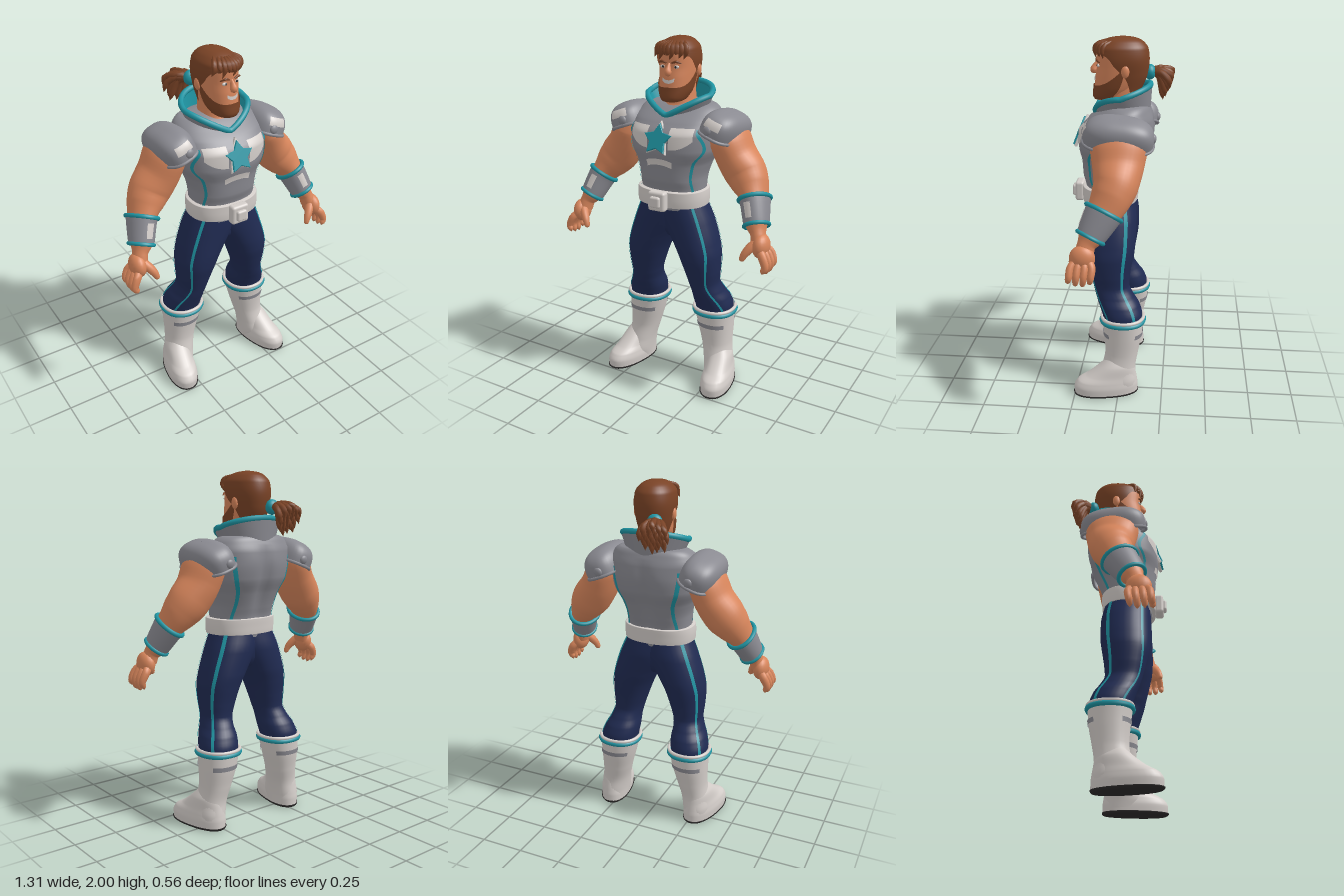
import * as THREE from 'three';
import { ParametricGeometry } from 'three/addons/geometries/ParametricGeometry.js';
import { RoundedBoxGeometry } from 'three/addons/geometries/RoundedBoxGeometry.js';
const material = (name, color) => Object.assign(new THREE.MeshStandardMaterial({ color, side: THREE.DoubleSide }), { name });
const skin = material('skin', 0xd8865c), hair = material('hair brown', 0x7a4326), suit = material('suit grey', 0x8a8a91);
const white = material('off white', 0xd3cdc9), teal = material('teal', 0x1f94a2), navy = material('navy', 0x202b52), dark = material('sole', 0x2c2a2a);
const TAU = Math.PI * 2, V = (x, y, z) => new THREE.Vector3(x, y, z);
const pw = (v, n) => Math.sign(v) * Math.abs(v) ** (2 / n);
const named = name => Object.assign(new THREE.Group(), { name });
// Smooth interpolation of one column of a table without overshoot
function curve(keys, vals) {
  const d = keys.slice(1).map((k, i) => (vals[i + 1] - vals[i]) / (k - keys[i]));
  const m = vals.map((_, i) => i === 0 ? d[0] : i === d.length ? d[i - 1] : d[i - 1] * d[i] <= 0 ? 0 : 2 * d[i - 1] * d[i] / (d[i - 1] + d[i]));
  return k => {
    let i = 0;
    while (i < d.length - 1 && k > keys[i + 1]) i++;
    const h = keys[i + 1] - keys[i], t = Math.min(1, Math.max(0, (k - keys[i]) / h)), s = 1 - t;
    return vals[i] * (1 + 2 * t) * s * s + m[i] * h * t * s * s + vals[i + 1] * t * t * (3 - 2 * t) - m[i + 1] * h * t * t * s;
  };
}
const columns = (keys, rows) => rows[0].map((_, c) => curve(keys, rows.map(r => r[c])));
// Upright body of horizontal rings; rows are [y, x0, x1, zBack, zFront]
function body(rows, n = 2.2) {
  const keys = rows.map(r => r[0]), c = columns(keys, rows);
  return Object.assign((y, a, off = 0) => {
    const [x0, x1, z0, z1] = [1, 2, 3, 4].map(i => c[i](y));
    return V((x0 + x1) / 2 + ((x1 - x0) / 2 + off) * pw(Math.sin(a), n), y, (z0 + z1) / 2 + ((z1 - z0) / 2 + off) * pw(Math.cos(a), n));
  }, { keys });
}
const sym = (rows, n) => body(rows.map(([y, h, z0, z1]) => [y, -h, h, z0, z1]), n);
// Limb along a path; rows are [x, y, z, side radius, depth radius]
function limb(rows) {
  const keys = rows.map((_, i) => i), c = columns(keys, rows), end = keys.length - 1;
  const at = k => V(c[0](k), c[1](k), c[2](k));
  return Object.assign((k, a, off = 0) => {
    const t = at(Math.min(end, k + 0.1)).sub(at(Math.max(0, k - 0.1))).normalize();
    const s = V(0, 0, 1).cross(t).normalize(), d = t.clone().cross(s);
    return at(k).addScaledVector(s, -Math.sin(a) * (c[3](k) + off)).addScaledVector(d, Math.cos(a) * (c[4](k) + off));
  }, { keys });
}
function add(parent, name, geometry, mat) {
  const mesh = Object.assign(new THREE.Mesh(geometry, mat), { name });
  parent.add(mesh);
}
const surface = (parent, name, mat, point, nu, nv) => add(parent, name, new ParametricGeometry((u, v, p) => p.copy(point(u, v)), nu, nv), mat);
function whole(parent, name, f, mat, nu = 32, sub = 4) {
  const k = f.keys, last = k.length - 1;
  surface(parent, name, mat, (u, v) => {
    const t = v * last, i = Math.min(last - 1, Math.floor(t));
    return f(k[i] + (k[i + 1] - k[i]) * (t - i), u * TAU);
  }, nu, last * sub);
}
// Thin patch lying on a body or limb; place(u, v) gives [key, angle]
const patch = (parent, name, f, mat, place, off = 0.004, nu = 10, nv = 14) => surface(parent, name, mat, (u, v) => f(...place(u, v), off), nu, nv);
const stripe = (parent, name, f, y0, y1, angle, w) => patch(parent, name, f, teal,
  (u, v) => [y0 + (y1 - y0) * v, angle(y0 + (y1 - y0) * v) + (u - 0.5) * 2 * w], 0.004, 3, 32);
const hoop = (parent, name, point, r, mat) => add(parent, name, new THREE.TubeGeometry(
  new THREE.CatmullRomCurve3(Array.from({ length: 40 }, (_, i) => point(i / 40 * TAU)), true), 80, r, 8, true), mat);
const ball = (parent, name, mat, x, y, z, sx, sy, sz) => add(parent, name, new THREE.SphereGeometry(1, 20, 14).scale(sx, sy, sz).translate(x, y, z), mat);
// Copy of a group reflected in x, with corners reordered
function mirrored(group, name) {
  const out = named(name);
  group.updateMatrixWorld(true);
  group.traverse(o => {
    if (!o.isMesh) return;
    const g = o.geometry.clone().applyMatrix4(o.matrixWorld).scale(-1, 1, 1), ix = g.index.array;
    for (let i = 0; i < ix.length; i += 3) [ix[i], ix[i + 1]] = [ix[i + 1], ix[i]];
    add(out, o.name, g, o.material);
  });
  return out;
}
function makeTorso(root) {
  const base = sym([[1.08, .185, -.07, .2], [1.19, .185, -.08, .205], [1.25, .187, -.1, .22], [1.33, .207, -.13, .225], [1.42, .248, -.168, .242],
    [1.5, .255, -.178, .238], [1.56, .255, -.172, .19], [1.61, .232, -.155, .125], [1.64, .2, -.14, .08], [1.66, .1, -.1, .04], [1.67, .04, -.06, .02]], 2.35);
  // Groove along the spine
  const f = Object.assign((y, a, off) => {
    const p = base(y, a, off);
    if (p.z < 0) p.z += .022 * Math.exp(-((p.x / .045) ** 2)) * Math.sin(Math.PI * Math.min(1, Math.max(0, (y - 1.15) / .45)));
    return p;
  }, { keys: base.keys });
  whole(root, 'torso', f, suit, 64);
  // Pale panels and teal seams
  const front = curve([1.19, 1.28, 1.35, 1.43, 1.52], [1.02, .92, .9, 1.1, .85]), back = curve([1.19, 1.35, 1.52], [2.3, 2.45, 2.35]);
  for (const s of [1, -1]) {
    patch(root, 'chestPanel', f, white, (u, v) => [1.43 + .05 * u * u + (.115 - .05 * u * u) * v, s * (.2 + u * .55)]);
    stripe(root, 'frontSeam', f, 1.19, 1.54, y => s * front(y), .05);
    stripe(root, 'backSeam', f, 1.19, 1.54, y => s * back(y), .06);
  }
  patch(root, 'stomachPanel', f, white, (u, v) => [1.325 + 0.035 * v + 0.015 * Math.sin(u * Math.PI), (u - 0.5) * 0.6]);
  // Star ornament
  for (const [R, r, z, mat] of [[.096, .05, .222, white], [.084, .045, .233, teal]]) {
    const points = Array.from({ length: 10 }, (_, i) => new THREE.Vector2(0, i % 2 ? r : R).rotateAround(new THREE.Vector2(), i * Math.PI / 5));
    const plate = new THREE.ExtrudeGeometry(new THREE.Shape(points), { depth: .012, bevelSize: .003, bevelThickness: .003, bevelSegments: 1 });
    add(root, 'starOrnament', plate.rotateX(-.38).translate(0, 1.478, z), mat);
  }
  // Belt and buckle
  whole(root, 'belt', sym([[1.095, .18, -.065, .2], [1.1, .203, -.085, .222], [1.145, .206, -.088, .225], [1.185, .203, -.09, .225], [1.192, .18, -.07, .2]], 2.35), white, 48);
  add(root, 'buckle', new RoundedBoxGeometry(.105, .11, .05, 3, .015).translate(0, 1.14, .242), white);
  add(root, 'buckleCentre', new RoundedBoxGeometry(.062, .062, .03, 3, .012).translate(0, 1.14, .27), white);
  // Flared collar: grey outside, teal lining and rim, meeting in a low front V
  const edge = (a, t, inset) => {
    const c = Math.cos(a), s = Math.sin(a);
    const top = V(.195 * s, c > 0 ? 1.588 + .105 * Math.sqrt(s * s + .004) : 1.695 - .05 * c, .16 * c);
    const p = V(.145 * s, 1.58 - .03 * c, -.02 + .13 * c).lerp(top, t);
    return V(p.x - inset * s, p.y, p.z - inset * c);
  };
  surface(root, 'collarOuter', suit, (u, v) => edge(u * TAU, v, 0), 48, 5);
  surface(root, 'collarLining', teal, (u, v) => edge(u * TAU, v, .014), 48, 5);
  hoop(root, 'collarRim', a => edge(a, 1, .01), .016, teal);
}
function makeArm() {
  const g = named('leftArm');
  const f = limb([[.25, 1.56, 0, .02, .02], [.28, 1.53, 0, .08, .13], [.31, 1.47, -.005, .1, .15], [.345, 1.39, -.005, .105, .137], [.4, 1.31, 0, .113, .12],
    [.445, 1.25, .02, .1, .108], [.49, 1.18, .055, .07, .09], [.535, 1.06, .12, .055, .065], [.555, 1.02, .14, .04, .048], [.565, .98, .15, .04, .05]]);
  whole(g, 'arm', f, skin);
  patch(g, 'wristGuard', f, suit, (u, v) => [6 + v, u * TAU], .01, 32, 8);
  patch(g, 'wristGuardPanel', f, white, (u, v) => [6.25 + .5 * v, (u - .5) * .5], .013);
  hoop(g, 'guardTopRing', a => f(6, a, .009), .012, teal);
  hoop(g, 'guardLowerRing', a => f(7, a, .009), .011, teal);
  // Hand with four fingers and a thumb
  ball(g, 'palm', skin, .582, .965, .157, .045, .067, .067);
  for (let i = 0; i < 4; i++) {
    const z = .104 + i * .037, n = Math.abs(i - 1.4) * .012;
    whole(g, 'finger', limb([[.585, .955, .125 + i * .02, .024, .022], [.617, .92, z, .023, .02], [.635, .875, z + .006, .02, .018],
      [.626, .835 + n, z + .01, .016, .015], [.62, .818 + n, z + .01, .001, .001]]), skin, 10, 3);
  }
  whole(g, 'thumb', limb([[.565, .99, .17, .026, .026], [.535, .955, .2, .025, .024], [.512, .92, .218, .02, .019], [.502, .893, .224, .014, .014], [.5, .884, .225, .001, .001]]), skin, 12, 3);
  // Shoulder pad, rim, panel and studs
  const pad = named('shoulderPad');
  pad.position.set(.28, 1.515, 0);
  pad.rotation.set(-.1, 0, -.36);
  g.add(pad);
  const dome = (t, a, r = 1) => V(.106 * r * pw(Math.sin(t), 2.6) * pw(Math.sin(a), 2.7), .113 * r * pw(Math.cos(t), 2.6), .186 * r * pw(Math.sin(t), 2.6) * pw(Math.cos(a), 2.7));
  surface(pad, 'padShell', suit, (u, v) => dome(1.75 - 1.748 * v, u * TAU), 40, 18);
  surface(pad, 'padPanel', white, (u, v) => dome(1.45 - .4 * v, -.4 + u * .7, 1.02), 8, 8);
  hoop(pad, 'padRim', a => dome(1.72, a), .009, suit);
  for (const s of [1, -1]) ball(pad, 'padStud', suit, -.02, .005, s * .182, .025, .025, .014);
  return g;
}
function makeLeg() {
  const g = named('leftLeg');
  const f = body([[.42, .13, .32, -.12, .085], [.47, .118, .333, -.13, .095], [.53, .112, .318, -.112, .115], [.58, .115, .292, -.08, .133], [.64, .105, .274, -.052, .15], [.71, .083, .28, -.058, .168],
    [.8, .05, .283, -.072, .188], [.88, .01, .27, -.083, .193], [1, -.06, .235, -.086, .193], [1.11, -.1, .19, -.07, .19]]);
  whole(g, 'trouserLeg', f, navy);
  stripe(g, 'frontStripe', f, .46, 1.1, curve([.46, .65, .86, 1.0, 1.1], [.9, .62, .82, .83, .85]), .065);
  stripe(g, 'backStripe', f, .46, 1.1, () => 2.2, .085);
  // Boot shaft with trim
  const b = body([[.03, .2, .355, -.1, .1], [.08, .195, .36, -.102, .12], [.15, .185, .347, -.095, .1], [.25, .16, .335, -.11, .08], [.36, .13, .338, -.13, .088], [.46, .108, .342, -.137, .1]]);
  whole(g, 'bootShaft', b, white);
  for (const mid of [0, Math.PI]) patch(g, 'bootBand', b, suit, (u, v) => [.352 + .026 * v, mid + (u - .5) * 1.8]);
  hoop(g, 'bootRing', a => b(.442, a, .002), .014, teal);
  hoop(g, 'bootTopTrim', a => b(.46, a, 0), .01, white);
  // Foot and sole
  const foot = named('foot');
  foot.position.set(.285, 0, 0);
  foot.rotation.y = .2;
  g.add(foot);
  whole(foot, 'bootFoot', sym([[.014, .086, -.11, .255], [.05, .088, -.11, .258], [.085, .083, -.106, .24], [.12, .074, -.1, .18], [.17, .066, -.09, .115], [.22, .04, -.06, .06]], 2.3), white);
  whole(foot, 'bootSole', sym([[0, .001, .07, .072], [.001, .08, -.108, .25], [.014, .091, -.114, .262], [.017, .07, -.1, .24]], 2.3), dark);
  return g;
}
function makeHead() {
  const g = named('head');
  g.rotation.y = .1;
  whole(g, 'neck', sym([[1.55, .12, -.12, .13], [1.6, .1, -.1, .11], [1.65, .084, -.1, .08], [1.76, .075, -.1, .07]]), skin);
  const f = sym([[1.658, .004, .09, .11], [1.664, .045, .02, .145], [1.69, .068, -.03, .157], [1.73, .084, -.08, .153], [1.79, .092, -.115, .148],
    [1.85, .096, -.125, .14], [1.91, .097, -.125, .142], [1.96, .075, -.09, .1], [1.98, .02, -.03, .03]], 2.3);
  whole(g, 'face', f, skin);
  patch(g, 'beard', f, hair, (u, v) => [1.659 + (.085 + .1 * (2 * u - 1) ** 4) * v, (u - .5) * 3.3], .007, 32, 10);
  patch(g, 'smile', f, white, (u, v) => [1.764 + .018 * v + .012 * (2 * u - 1) ** 2, (u - .5) * .6], .005);
  whole(g, 'nose', limb([[0, 1.868, .135, .006, .008], [0, 1.845, .146, .012, .016], [0, 1.823, .155, .019, .021], [0, 1.808, .15, .012, .012], [0, 1.803, .148, .001, .001]]), skin, 14);
  for (const s of [1, -1]) {
    ball(g, 'eye', white, s * .038, 1.85, .131, .016, .009, .008);
    ball(g, 'pupil', dark, s * .036, 1.85, .1365, .006, .007, .004);
    whole(g, 'eyebrow', limb([[s * .016, 1.87, .143, .004, .004], [s * .04, 1.878, .141, .007, .006], [s * .065, 1.868, .125, .003, .003]]), hair, 8);
    ball(g, 'ear', skin, s * .104, 1.825, -.01, .014, .034, .022);
  }
  // Hair cap, open around the face, with a swept fringe
  const h = sym([[1.71, .08, -.095, .09], [1.8, .101, -.133, .14], [1.88, .112, -.143, .152], [1.935, .106, -.136, .148], [1.97, .082, -.11, .115], [1.99, .05, -.07, .072], [2, .003, -.003, .003]]);
  const open = curve([1.71, 1.8, 1.85, 1.9, 1.925], [1.9, 1.6, 1.3, 1, 0]);
  patch(g, 'hairBack', h, hair, (u, v) => [1.71 + .215 * v, open(1.71 + .215 * v) * (1 - 2 * u) + u * TAU], 0, 40, 18);
  patch(g, 'hairTop', h, hair, (u, v) => [1.925 + .075 * Math.sin(v * Math.PI / 2), u * TAU], 0, 40, 18);
  for (let i = 0; i < 9; i++) {
    const x = -.085 + i * .021, z = .148 - x * x * 6, drop = .02 * Math.sin(i * 2.3) + .018 - 1.6 * x * x;
    whole(g, 'fringeLock', limb([[x * .6, 1.975, z - .05, .008, .008], [x * .9, 1.95, z - .005, .02, .014], [x, 1.924, z + .004, .015, .011], [x - .016, 1.888 + drop, z, .001, .001]]), hair, 10, 3);
  }
  // Ponytail fanning out from its tie
  ball(g, 'hairTie', teal, -.045, 1.802, -.148, .042, .042, .032);
  for (let i = 0; i < 24; i++) {
    const a = i * 2.4, r = Math.sqrt((i + .5) / 24), x = -.07 + .08 * r * Math.cos(a), y = 1.72 + .064 * r * Math.sin(a), z = -.245 - .03 * r * Math.sin(a);
    whole(g, 'ponytailLock', limb([[-.048, 1.802, -.15, .012, .012], [(x - .05) / 2, 1.8 + (y - 1.725) * .35, -.2, .02, .02], [x, y + .03, z, .017, .017], [x * 1.08, y - .01, z - .005, .001, .001]]), hair, 8, 3);
  }
  return g;
}
export function createModel() {
  const root = named('heroFigure'), arm = makeArm(), leg = makeLeg();
  makeTorso(root);
  whole(root, 'hips', sym([[.88, .01, .03, .08], [.91, .05, -.03, .13], [.97, .13, -.06, .165], [1.04, .17, -.07, .17], [1.11, .165, -.06, .17]]), navy);
  root.add(arm, mirrored(arm, 'rightArm'), leg, mirrored(leg, 'rightLeg'), makeHead());
  return root;
}
